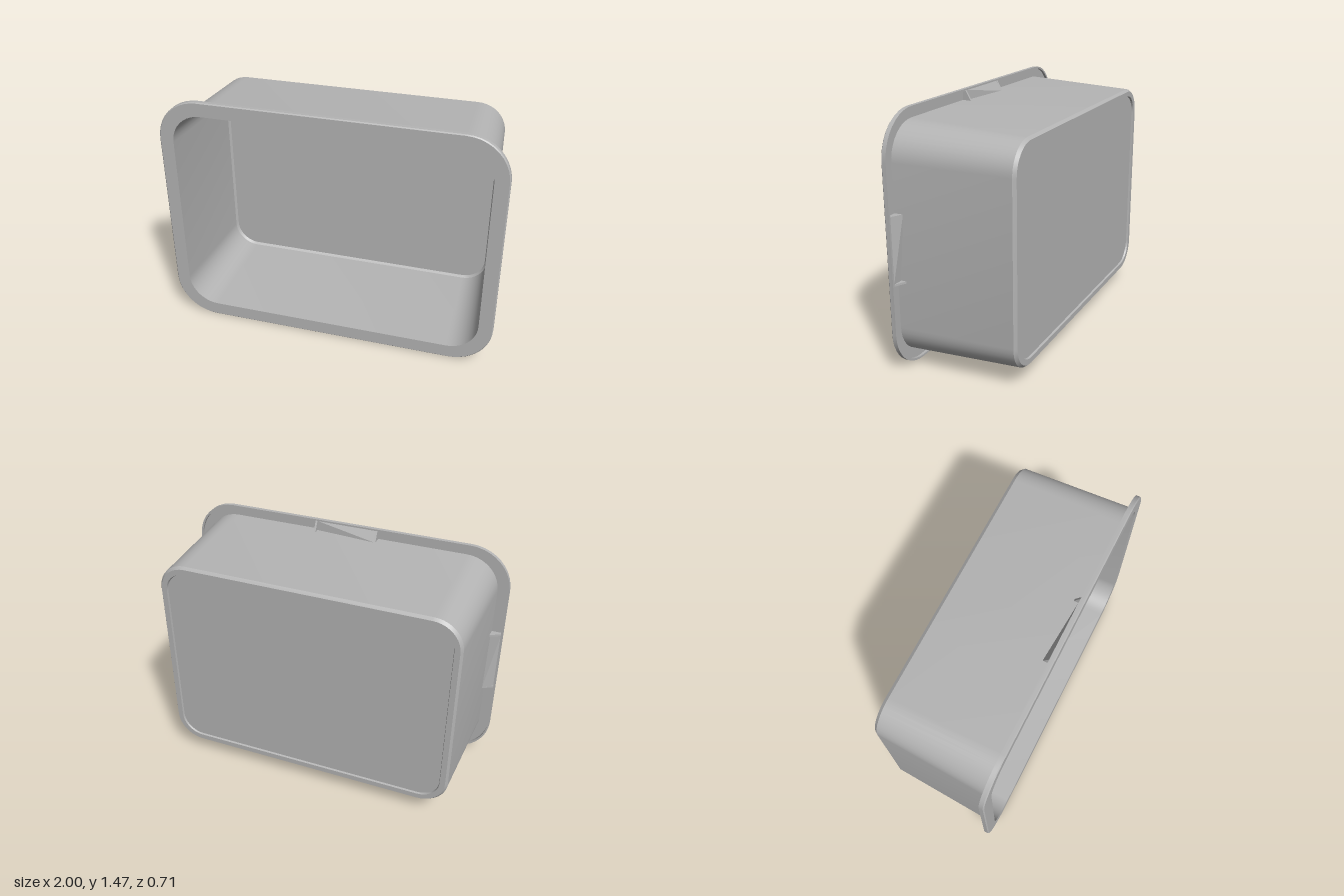
import * as THREE from 'three';
import { toCreasedNormals } from 'three/addons/utils/BufferGeometryUtils.js';

const CENTRE_Y = 0.7325;
const CORNER_STEPS = 10;

// Rounded rectangle, counter-clockwise seen from the front; half sizes hx, hy, corner radius r
function ring([hx, hy, r, z]) {
  const points = [];
  for (let corner = 0; corner < 4; corner++) {
    const sx = corner === 0 || corner === 3 ? 1 : -1;
    const sy = corner < 2 ? 1 : -1;
    for (let i = 0; i <= CORNER_STEPS; i++) {
      const a = (corner + i / CORNER_STEPS) * Math.PI / 2;
      points.push([sx * (hx - r) + r * Math.cos(a), sy * (hy - r) + r * Math.sin(a), z]);
    }
  }
  return points;
}

// Skin through successive rings; the first or last ring may be closed by a flat cap
function loft(sections, capStart = false, capEnd = false) {
  const rings = sections.map(ring);
  const n = rings[0].length;
  const pos = [];
  const tri = (a, b, c) => pos.push(...a, ...b, ...c);
  for (let i = 0; i < n; i++) {
    const j = (i + 1) % n;
    for (let k = 0; k < rings.length - 1; k++) {
      const [p, q] = [rings[k], rings[k + 1]];
      tri(p[i], q[i], q[j]);
      tri(p[i], q[j], p[j]);
    }
    const first = rings[0], last = rings[rings.length - 1];
    if (capStart) tri([0, 0, first[0][2]], first[i], first[j]);
    if (capEnd) tri([0, 0, last[0][2]], last[j], last[i]);
  }
  const geo = new THREE.BufferGeometry();
  geo.setAttribute('position', new THREE.Float32BufferAttribute(pos, 3));
  return toCreasedNormals(geo, 0.45);
}

export function createModel() {
  const model = new THREE.Group();
  model.name = 'openTub';
  const body = new THREE.Group();
  body.name = 'body';
  body.position.y = CENTRE_Y;
  model.add(body);

  const grey = new THREE.MeshStandardMaterial({ color: 0xb4b4b4, side: THREE.DoubleSide });
  grey.name = 'greyPlastic';
  const add = (parent, geo, name) => {
    const mesh = new THREE.Mesh(geo, grey);
    mesh.name = name;
    parent.add(mesh);
  };

  // Floor with a small bevel, then the tapered inner walls
  add(body, loft([
    [0.865, 0.6, 0.14, -0.325],
    [0.877, 0.612, 0.15, -0.312],
    [0.915, 0.648, 0.18, 0.355],
  ], true), 'innerTub');

  // Flat front flange with a turned-back lip, hollow behind
  add(body, loft([
    [0.915, 0.648, 0.18, 0.355],
    [0.994, 0.7265, 0.244, 0.355],
    [1.0, 0.7325, 0.25, 0.349],
    [1.0, 0.7325, 0.25, 0.325],
    [0.988, 0.7205, 0.238, 0.325],
    [0.988, 0.7205, 0.238, 0.341],
    [0.93, 0.667, 0.2, 0.341],
  ]), 'rim');

  // Tapered outer walls, bevelled back edge and shallow recessed base
  add(body, loft([
    [0.93, 0.667, 0.2, 0.341],
    [0.897, 0.632, 0.17, -0.335],
    [0.884, 0.619, 0.16, -0.353],
    [0.852, 0.587, 0.13, -0.353],
    [0.848, 0.583, 0.126, -0.342],
  ], false, true), 'outerShell');

  // Pair of gusset ribs and a sloping web behind the middle of each rim side
  const ribAt = 0.19, thick = 0.012;
  for (let side = 0; side < 4; side++) {
    const group = new THREE.Group();
    group.name = 'rimBrace';
    group.rotation.z = side * Math.PI / 2;
    body.add(group);
    const wall = side % 2 ? 0.664 : 0.927;
    const lip = side % 2 ? 0.724 : 0.99;
    const shape = new THREE.Shape([
      [wall - 0.004, 0.288], [lip, 0.324], [lip, 0.342], [wall - 0.004, 0.342],
    ].map(([x, z]) => new THREE.Vector2(x, z)));
    for (const s of [-1, 1]) {
      const rib = new THREE.ExtrudeGeometry(shape, { depth: thick, bevelEnabled: false });
      rib.rotateX(Math.PI / 2);
      rib.translate(0, s * ribAt + thick / 2, 0);
      add(group, rib, 'rib');
    }
    const web = new THREE.BufferGeometry();
    web.setAttribute('position', new THREE.Float32BufferAttribute([
      wall, ribAt, 0.29, lip, ribAt, 0.326, lip, -ribAt, 0.326,
      wall, ribAt, 0.29, lip, -ribAt, 0.326, wall, -ribAt, 0.322,
    ].map((v) => v), 3));
    // Corners run so that the web faces the back
    const p = web.attributes.position;
    for (let t = 0; t < 6; t += 3) {
      const a = new THREE.Vector3().fromBufferAttribute(p, t + 1);
      const b = new THREE.Vector3().fromBufferAttribute(p, t + 2);
      const normal = new THREE.Vector3().fromBufferAttribute(p, t);
      const facing = a.clone().sub(normal).cross(b.clone().sub(normal)).z;
      if (facing > 0) {
        p.setXYZ(t + 1, b.x, b.y, b.z);
        p.setXYZ(t + 2, a.x, a.y, a.z);
      }
    }
    web.computeVertexNormals();
    add(group, web, 'web');
  }
  return model;
}
